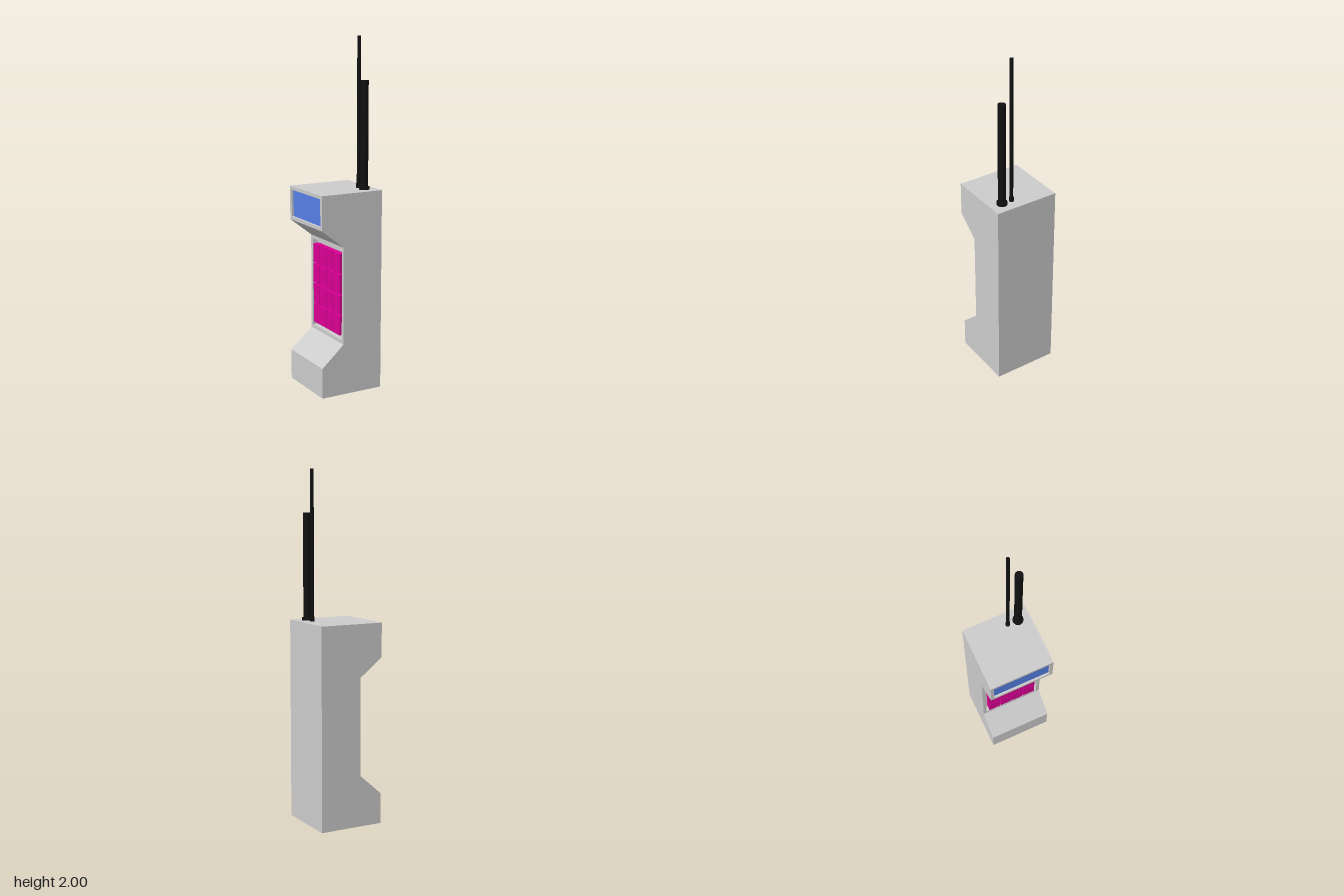
import * as THREE from 'three';

const HALF = 0.19;   // half depth of the body along z
const BORDER = 0.02; // rim around each recess

const material = (color) => new THREE.MeshStandardMaterial({ color, side: THREE.DoubleSide });

// Side profile in x, y, counter-clockwise; the sixth entry edge is the keypad wall
const profile = [
  [HALF, 0], [HALF, 1.155], [-HALF, 1.155], [-HALF, 0.96],
  [-0.055, 0.855], [-0.055, 0.295], [-HALF, 0.175], [-HALF, 0],
].map(([x, y]) => new THREE.Vector2(x, y));

// Recess depth by the index of the profile edge it is sunk into
const recesses = { 2: 0.015, 4: 0.03 };

function bodyGeometry() {
  const positions = [];
  const triangle = (...corners) => corners.forEach((c) => positions.push(c.x, c.y, c.z));
  const quad = (a, b, c, d) => { triangle(a, b, c); triangle(a, c, d); };
  const bridge = (outer, inner) => outer.forEach((p, i) => {
    const j = (i + 1) % 4;
    quad(p, outer[j], inner[j], inner[i]);
  });

  // Front and back walls
  for (const [a, b, c] of THREE.ShapeUtils.triangulateShape(profile, [])) {
    const at = (i, z) => new THREE.Vector3(profile[i].x, profile[i].y, z);
    triangle(at(a, HALF), at(b, HALF), at(c, HALF));
    triangle(at(c, -HALF), at(b, -HALF), at(a, -HALF));
  }

  // One wall per profile edge, with a sunken floor where there is a recess
  profile.forEach((p, i) => {
    const q = profile[(i + 1) % profile.length];
    const along = q.clone().sub(p).normalize();
    const ring = (inset, depth) => [[p, 1, 1], [p, 1, -1], [q, -1, -1], [q, -1, 1]].map(([e, s, side]) =>
      new THREE.Vector3(
        e.x + along.x * s * inset - along.y * depth,
        e.y + along.y * s * inset + along.x * depth,
        side * (HALF - inset)));
    const outer = ring(0, 0);
    const depth = recesses[i];
    if (!depth) return quad(...outer);
    const rim = ring(BORDER, 0);
    const floor = ring(BORDER, depth);
    bridge(outer, rim);
    bridge(rim, floor);
    quad(...floor);
  });

  const geometry = new THREE.BufferGeometry();
  geometry.setAttribute('position', new THREE.Float32BufferAttribute(positions, 3));
  geometry.computeVertexNormals();
  return geometry;
}

export function createModel() {
  const model = new THREE.Group();
  model.name = 'handheldRadio';
  const add = (parent, name, geometry, mat, x, y, z) => {
    const mesh = new THREE.Mesh(geometry, mat);
    mesh.name = name;
    mesh.position.set(x, y, z);
    parent.add(mesh);
    return mesh;
  };

  add(model, 'body', bodyGeometry(), material(0xcccccc), 0, 0, 0);

  // Display at the bottom of the upper recess
  add(model, 'screen', new THREE.BoxGeometry(0.004, 0.155, 0.34), material(0x5680e6), -0.1755, 1.0575, 0);

  // Keypad: four by four block keys standing on the recess floor
  const keypad = new THREE.Group();
  keypad.name = 'keypad';
  model.add(keypad);
  const keyGeometry = new THREE.BoxGeometry(0.036, 0.112, 0.073);
  const keyMaterial = material(0xdc0094);
  for (let row = 0; row < 4; row++) {
    for (let column = 0; column < 4; column++) {
      add(keypad, 'key', keyGeometry, keyMaterial,
        -0.042, 0.575 + (row - 1.5) * 0.12, (column - 1.5) * 0.077);
    }
  }

  // Two antennas, each a collar and a rod
  const black = material(0x111111);
  const antenna = (name, z, collarRadius, collarHeight, rodRadius, top) => {
    const group = new THREE.Group();
    group.name = name;
    group.position.set(0.118, 1.155, z);
    model.add(group);
    const height = top - 1.155;
    add(group, 'collar', new THREE.CylinderGeometry(collarRadius, collarRadius, collarHeight, 32), black, 0, collarHeight / 2, 0);
    add(group, 'rod', new THREE.CylinderGeometry(rodRadius, rodRadius, height, 32), black, 0, height / 2, 0);
  };
  antenna('thickAntenna', 0.117, 0.03, 0.016, 0.022, 1.76);
  antenna('thinAntenna', 0.055, 0.013, 0.025, 0.01, 2);

  return model;
}
